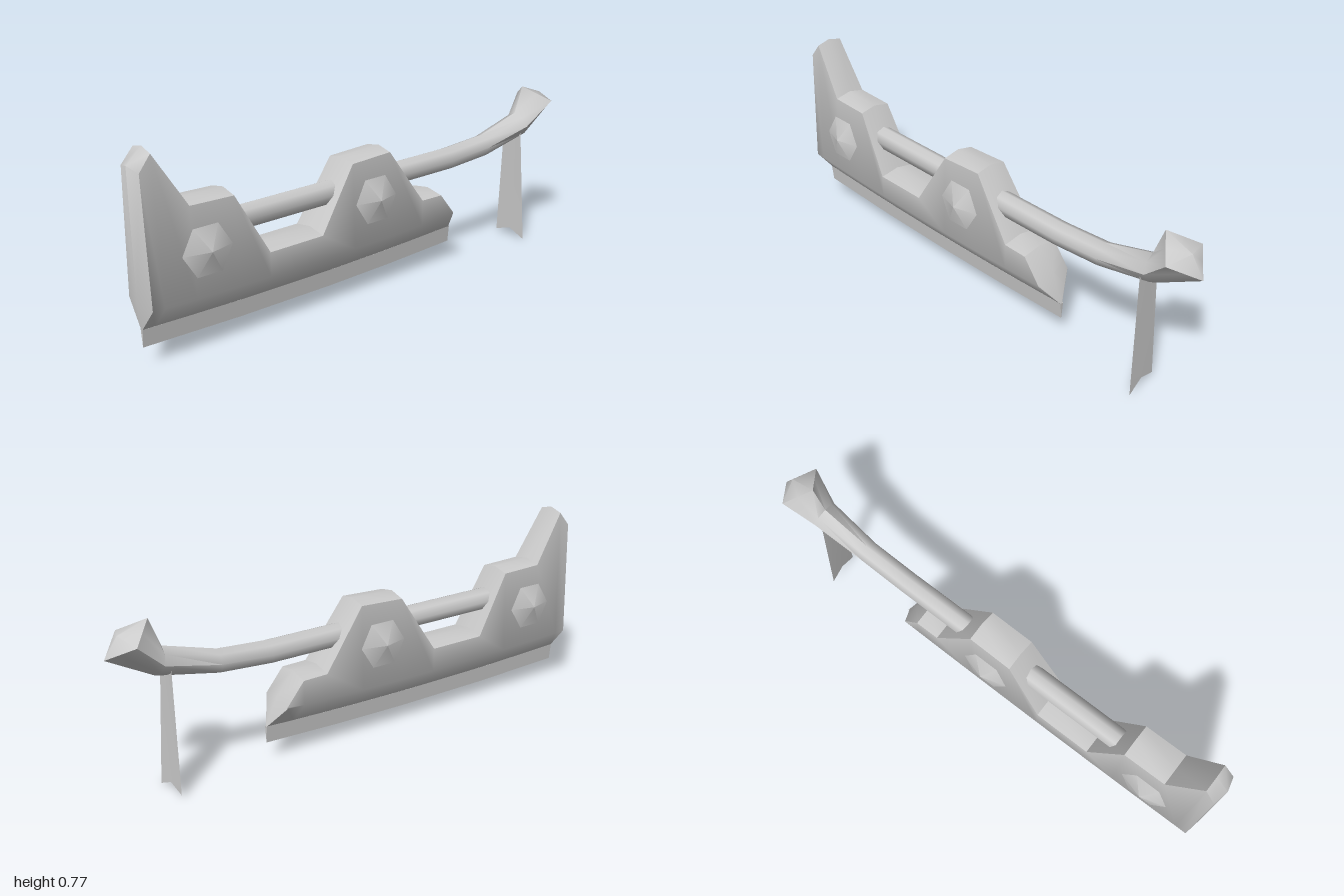
import * as THREE from 'three';
import { toCreasedNormals } from 'three/addons/utils/BufferGeometryUtils.js';

const material = new THREE.MeshStandardMaterial({ color: 0xcccccc });
const sheetMaterial = new THREE.MeshStandardMaterial({ color: 0xcccccc, side: THREE.DoubleSide });

// Skins closed rings running from front to back (each counter-clockwise seen from the
// front) and closes both ends with a fan around the given apex points.
function loft(rings, frontApex, backApex, crease) {
  const n = rings[0].length;
  const last = rings.length - 1;
  const points = [...rings.flat(), frontApex, backApex];
  const index = [];
  for (let j = 0; j < n; j++) {
    const k = (j + 1) % n;
    for (let i = 0; i < last; i++) {
      const a = i * n + j, b = i * n + k, c = a + n, d = b + n;
      index.push(a, c, b, b, c, d);
    }
    index.push(points.length - 2, j, k);
    index.push(points.length - 1, last * n + k, last * n + j);
  }
  const geometry = new THREE.BufferGeometry();
  geometry.setAttribute('position', new THREE.Float32BufferAttribute(points.flat(), 3));
  geometry.setIndex(index);
  return toCreasedNormals(geometry, crease);
}

function addMesh(parent, name, geometry, mat = material) {
  const mesh = new THREE.Mesh(geometry, mat);
  mesh.name = name;
  parent.add(mesh);
  return mesh;
}

// The keel of the head sags gently towards its middle
const sag = (z) => ((z - 0.28) / 0.71) ** 2;
const keelY = (z) => 0.125 + 0.015 * sag(z);

// Head: V-shaped keel, flat tapering flanks and a stepped, ridged top
function headGeometry() {
  const profile = [
    [0.985, 0.715], [0.94, 0.77], [0.82, 0.572], [0.65, 0.567], [0.52, 0.33], [0.29, 0.33],
    [0.14, 0.565], [-0.04, 0.573], [-0.2, 0.345], [-0.3, 0.343], [-0.37, 0.255],
  ];
  const rings = profile.map(([z, top], i) => {
    const shoulder = 0.222 + 0.016 * sag(z);
    const corner = top - 0.014;
    const halfTop = 0.078 - 0.056 * Math.max(0, corner - 0.34);
    const ridgeZ = i === 0 ? 0.998 : z;
    return [
      [0, keelY(z), i === 0 ? 0.99 : z],
      [0.078, shoulder, z], [halfTop, corner, z],
      [0, top, ridgeZ],
      [-halfTop, corner, z], [-0.078, shoulder, z],
    ];
  });
  // Pointed tail
  rings.push([
    [0, 0.138, -0.42], [0.004, 0.146, -0.418], [0.003, 0.15, -0.417],
    [0, 0.152, -0.416], [-0.003, 0.15, -0.417], [-0.004, 0.146, -0.418],
  ]);
  return loft(rings, [0, 0.238, 0.999], [0, 0.146, -0.42], 0.8);
}

// Thin cutting edge under the keel
function bladeGeometry() {
  const rings = [0.99, 0.6, 0.2, -0.1, -0.42].map((z) => {
    const top = keelY(z) + 0.008;
    return [[0, keelY(z) - 0.06, z], [0.007, top, z], [-0.007, top, z]];
  });
  return loft(rings, [0, 0.12, 0.99], [0, 0.12, -0.42], 0.4);
}

// Shaft that bends upward and flares into a diamond-ended pommel
function shaftGeometry() {
  // bottom z, bottom y, top z, top y, half width, diagonal factor (0.5 = diamond)
  const sections = [
    [0.6, 0.395, 0.6, 0.487, 0.044, 0.707],
    [-0.4, 0.395, -0.4, 0.487, 0.044, 0.707],
    [-0.6, 0.408, -0.6, 0.5, 0.044, 0.707],
    [-0.83, 0.455, -0.8, 0.558, 0.058, 0.65],
    [-1, 0.55, -0.84, 0.665, 0.095, 0.5],
  ];
  const rings = sections.map(([bz, by, tz, ty, w, diagonal]) =>
    Array.from({ length: 8 }, (_, k) => {
      const a = (k * Math.PI) / 4;
      const scale = k % 2 ? diagonal / Math.SQRT1_2 : 1;
      const up = -Math.cos(a) * scale * 0.5;
      return [
        Math.sin(a) * scale * w,
        (by + ty) / 2 + up * (ty - by),
        (bz + tz) / 2 + up * (tz - bz),
      ];
    }));
  return loft(rings, [0, 0.441, 0.6], [0, 0.626, -0.95], 0.85);
}

// Swallow-tailed ribbon hanging from the end of the shaft
function ribbonGeometry() {
  const geometry = new THREE.BufferGeometry();
  geometry.setAttribute('position', new THREE.Float32BufferAttribute([
    -0.045, 0.5, -0.79, 0, 0.5, -0.79, 0.045, 0.5, -0.79,
    -0.07, 0.015, -0.797, 0, 0.037, -0.805, 0.07, 0.002, -0.813,
  ], 3));
  geometry.setIndex([0, 3, 1, 1, 3, 4, 1, 4, 2, 2, 4, 5]);
  geometry.computeVertexNormals();
  return geometry;
}

export function createModel() {
  const group = new THREE.Group();
  group.name = 'poleWeapon';

  addMesh(group, 'head', headGeometry());
  addMesh(group, 'blade', bladeGeometry());
  addMesh(group, 'shaft', shaftGeometry());
  addMesh(group, 'ribbon', ribbonGeometry(), sheetMaterial);

  // Six-sided studs, two on each flank, tilted slightly upward
  const stud = new THREE.ConeGeometry(0.097, 0.03, 6);
  for (const side of [1, -1]) {
    for (const [name, z] of [['frontStud', 0.773], ['rearStud', 0.043]]) {
      const mesh = addMesh(group, name, stud);
      mesh.position.set(side * 0.1, 0.398, z);
      mesh.rotation.z = side * (-Math.PI / 2 + 0.08);
    }
  }
  return group;
}
